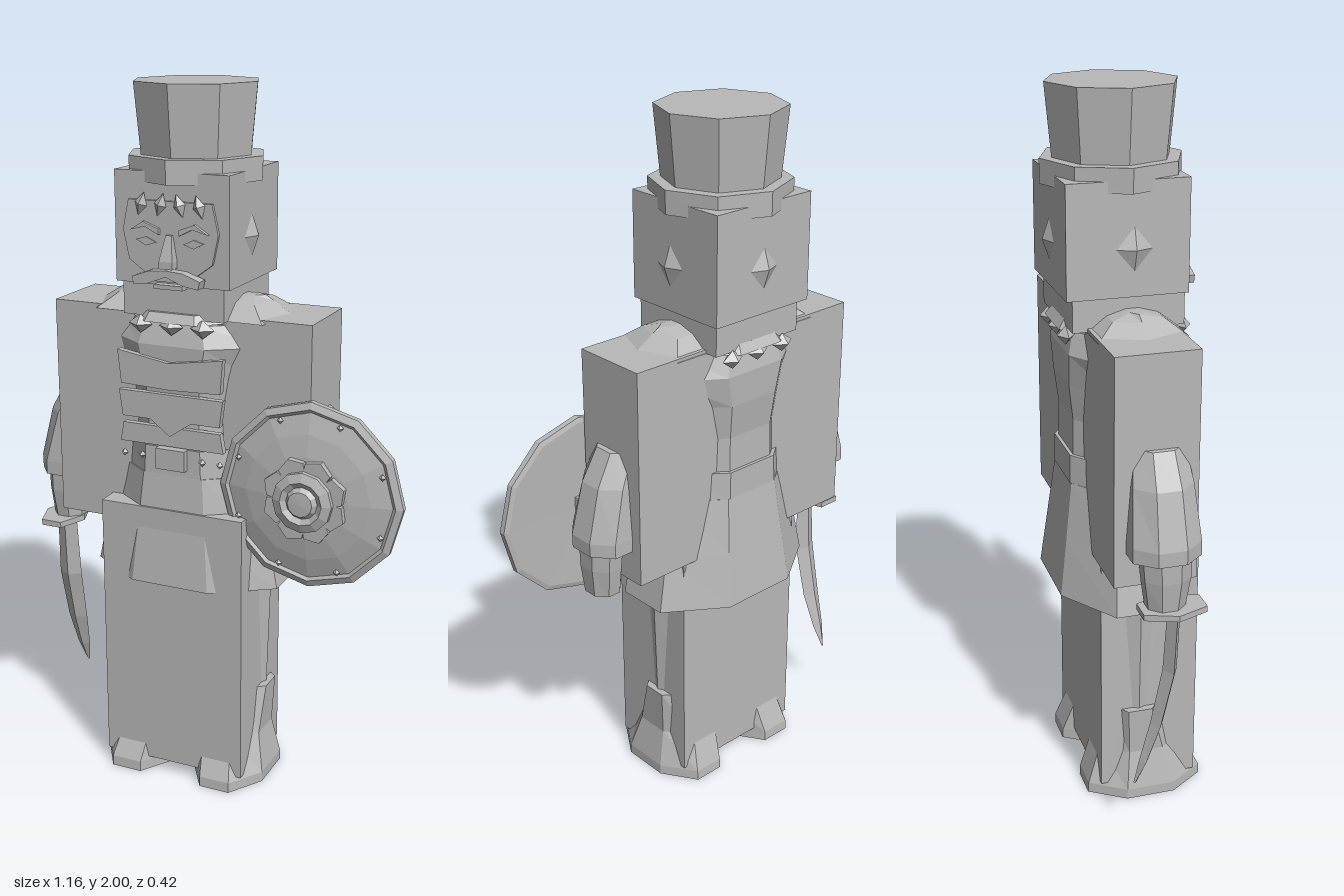
import * as THREE from 'three';

const CX = -0.087; // body centre line (the shield shifts the figure to one side)

export function createModel() {
  const root = new THREE.Group();
  const grey = new THREE.MeshStandardMaterial({ color: 0xb8b8b8 });
  grey.name = 'plain grey';

  // Faceted normals for every part
  function add(name, geometry, x = 0, y = 0, z = 0, parent = root) {
    const g = geometry.index ? geometry.toNonIndexed() : geometry;
    g.computeVertexNormals();
    const m = new THREE.Mesh(g, grey);
    m.name = name;
    m.position.set(x, y, z);
    parent.add(m);
    return m;
  }
  // Box from its limits
  const block = (name, x0, x1, y0, y1, z0, z1) =>
    add(name, new THREE.BoxGeometry(x1 - x0, y1 - y0, z1 - z0), (x0 + x1) / 2, (y0 + y1) / 2, (z0 + z1) / 2);
  // Elliptic rings [y, cx, cz, rx, rz], bottom to top, joined and capped
  function loft(rings, n = 8, phase = Math.PI / 8) {
    const pos = [];
    const pt = ([y, cx, cz, rx, rz], i) => {
      const a = phase + (i % n) * 2 * Math.PI / n;
      return [cx + rx * Math.cos(a), y, cz + rz * Math.sin(a)];
    };
    const lo = rings[0], hi = rings[rings.length - 1];
    for (let i = 0; i < n; i++) {
      for (let k = 0; k < rings.length - 1; k++) {
        const a = pt(rings[k], i), b = pt(rings[k + 1], i), c = pt(rings[k + 1], i + 1), d = pt(rings[k], i + 1);
        pos.push(...a, ...b, ...c, ...a, ...c, ...d);
      }
      pos.push(lo[1], lo[0], lo[2], ...pt(lo, i), ...pt(lo, i + 1));
      pos.push(hi[1], hi[0], hi[2], ...pt(hi, i + 1), ...pt(hi, i));
    }
    const g = new THREE.BufferGeometry();
    g.setAttribute('position', new THREE.Float32BufferAttribute(pos, 3));
    return g;
  }
  // Flat plate from an outline in the x-y plane
  const plate = (pts, depth) =>
    new THREE.ExtrudeGeometry(new THREE.Shape(pts.map(p => new THREE.Vector2(...p))), { depth, bevelEnabled: false });
  // Pointed gem shape
  const gem = (name, x, y, z, sx, sy, sz) => add(name, new THREE.OctahedronGeometry(1).scale(sx, sy, sz), x, y, z);

  // Main blocks
  block('legBlock', -0.305, 0.13, 0.04, 0.84, -0.11, 0.17);
  block('torsoBlock', -0.475, 0.3, 0.765, 1.395, -0.125, 0.102);
  block('neckBlock', -0.237, 0.063, 1.385, 1.48, -0.165, 0.138);
  block('headBlock', -0.255, 0.081, 1.475, 1.775, -0.185, 0.143);

  // Hat
  add('hatBrim', loft([[1.745, CX, -0.017, 0.192, 0.192], [1.81, CX, -0.017, 0.194, 0.192]], 8, 0));
  add('hat', loft([[1.8, CX, -0.017, 0.158, 0.158], [2, CX, -0.017, 0.177, 0.177]], 8, 0));

  // Inner head, showing at the ears and back
  for (const s of [-1, 1]) gem('ear', CX + s * 0.155, 1.6, -0.005, 0.033, 0.095, 0.08);
  gem('headBack', CX, 1.6, -0.17, 0.085, 0.1, 0.034);

  // Face
  add('face', plate([[-0.13, 1.485], [-0.04, 1.485], [0.035, 1.54], [0.053, 1.62], [0.035, 1.7],
    [-0.21, 1.7], [-0.227, 1.62], [-0.21, 1.54]], 0.012), 0, 0, 0.14);
  add('nose', loft([[1.525, CX, 0.158, 0.028, 0.034], [1.545, CX, 0.158, 0.028, 0.034],
    [1.612, CX, 0.153, 0.012, 0.012]], 4, Math.PI / 4));
  for (const s of [-1, 1]) {
    const mirror = pts => {
      const p = pts.map(([x, y]) => [CX + s * x, y]);
      return s < 0 ? p.reverse() : p;
    };
    add('moustache', plate(mirror([[0, 1.505], [0.05, 1.485], [0.095, 1.478], [0.1, 1.5], [0.05, 1.518], [0, 1.522]]), 0.035), 0, 0, 0.148);
    add('eyebrow', plate(mirror([[0.03, 1.612], [0.07, 1.632], [0.115, 1.62], [0.075, 1.645], [0.03, 1.628]]), 0.015), 0, 0, 0.148);
    add('eye', plate(mirror([[0.04, 1.59], [0.07, 1.58], [0.1, 1.595], [0.07, 1.604]]), 0.008), 0, 0, 0.148);
    // Fringe
    for (const x of [0.028, 0.085]) gem('fringe', CX + s * x, 1.69, 0.152, 0.018, 0.032, 0.016).rotation.z = s * 0.3;
  }
  block('lowerLip', -0.13, -0.045, 1.468, 1.48, 0.13, 0.168);

  // Tapered torso, skirt and belt
  add('torso', loft([[0.9, CX, 0, 0.21, 0.162], [1.12, CX, -0.002, 0.2, 0.156], [1.22, CX, -0.003, 0.215, 0.168],
    [1.31, CX, -0.003, 0.26, 0.172], [1.37, CX, -0.005, 0.22, 0.155]]));
  add('belt', loft([[0.94, CX, -0.002, 0.225, 0.17], [1.02, CX, -0.002, 0.218, 0.168]]));
  add('skirt', loft([[0.615, CX, -0.006, 0.308, 0.206], [0.78, CX, -0.003, 0.272, 0.187], [0.94, CX, -0.001, 0.235, 0.168]]));
  block('buckle', -0.13, -0.042, 0.96, 1.02, 0.15, 0.172);
  for (const x of [-0.235, -0.18, 0.005, 0.058]) gem('beltStud', x, 0.99, 0.155, 0.011, 0.011, 0.014);

  // Chest bands
  add('chestBand', plate([[-0.235, 1.195], [-0.09, 1.19], [0.065, 1.195], [0.072, 1.29], [-0.09, 1.265], [-0.245, 1.29]], 0.02), 0, 0, 0.148);
  add('chestBand', plate([[-0.235, 1.1], [-0.15, 1.1], [-0.09, 1.055], [-0.025, 1.1], [0.06, 1.1], [0.07, 1.175], [-0.245, 1.175]], 0.02), 0, 0, 0.143);
  add('chestBand', plate([[-0.245, 1.025], [0.07, 1.025], [0.06, 1.08], [-0.235, 1.08]], 0.02), 0, 0, 0.139);

  // Collar with pendants front and back
  add('collar', loft([[1.375, CX, -0.008, 0.195, 0.188], [1.4, CX, -0.008, 0.175, 0.17]]));
  for (const x of [-0.093, 0, 0.093])
    for (const s of [-1, 1]) gem('pendant', CX + x, 1.365, -0.008 + s * 0.16, 0.036, 0.026, 0.024);

  for (const s of [-1, 1]) {
    const X = d => CX + s * d;
    // Shoulder pads
    add('shoulderPad', loft([[1.385, X(0.2), -0.005, 0.1, 0.14], [1.425, X(0.175), -0.005, 0.06, 0.08],
      [1.44, X(0.16), -0.005, 0.05, 0.02]], 6, 0));
    // Sleeves and hands
    add('sleeve', loft([[0.86, X(0.415), 0, 0.082, 0.1], [0.9, X(0.414), 0, 0.084, 0.1],
      [1.05, X(0.375), 0, 0.085, 0.088], [1.14, X(0.335), 0, 0.075, 0.075]]));
    add('hand', loft([[0.715, X(0.418), 0.004, 0.05, 0.055], [0.8, X(0.422), 0.004, 0.056, 0.068], [0.87, X(0.42), 0.002, 0.06, 0.072]]));
    // Legs and boots
    add('leg', loft([[0.2, X(0.115), 0.0, 0.108, 0.1], [0.65, X(0.118), 0.0, 0.12, 0.11]], 8, 0));
    add('boot', loft([[0, X(0.144), 0.028, 0.12, 0.184], [0.03, X(0.144), 0.028, 0.12, 0.182],
      [0.14, X(0.128), 0.02, 0.112, 0.13], [0.28, X(0.128), 0.0, 0.12, 0.09]]));
  }

  // Curved sword
  add('swordGuard', loft([[0.7, -0.517, 0.02, 0.064, 0.1], [0.717, -0.517, 0.02, 0.064, 0.1]], 6, 0));
  add('swordBlade', loft([[0.18, -0.51, -0.075, 0.003, 0.004], [0.25, -0.51, -0.05, 0.02, 0.013], [0.36, -0.508, -0.015, 0.032, 0.018],
    [0.52, -0.507, 0.02, 0.037, 0.02], [0.71, -0.507, 0.03, 0.032, 0.018]], 4, 0));

  // Round twelve-sided shield
  const shield = new THREE.Group();
  shield.name = 'shield';
  shield.position.set(0.312, 0.932, 0);
  root.add(shield);
  const lathe = (pts, n) => new THREE.LatheGeometry(pts.map(p => new THREE.Vector2(...p)), n).rotateX(Math.PI / 2);
  add('shieldDisc', lathe([[0, 0.112], [0.25, 0.108], [0.264, 0.112], [0.264, 0.13], [0.245, 0.138], [0.236, 0.132],
    [0.18, 0.147], [0.12, 0.157], [0, 0.165]], 12), 0, 0, 0, shield);
  add('shieldBoss', lathe([[0, 0.15], [0.085, 0.15], [0.085, 0.19], [0.06, 0.2], [0.045, 0.19], [0.035, 0.204], [0, 0.206]], 12), 0, 0, 0, shield);
  for (let i = 0; i < 8; i++) {
    const a = (i + 0.5) * Math.PI / 4;
    const petal = add('shieldPetal', plate([[0.06, -0.03], [0.1, -0.038], [0.122, 0], [0.1, 0.038], [0.06, 0.03]], 0.024), 0, 0, 0.152, shield);
    petal.rotation.z = a;
    add('shieldRivet', new THREE.OctahedronGeometry(0.01), 0.222 * Math.cos(a), 0.222 * Math.sin(a), 0.138, shield);
  }
  block('shieldGrip', 0.27, 0.335, 0.9, 0.96, 0.09, 0.115);

  return root;
}
